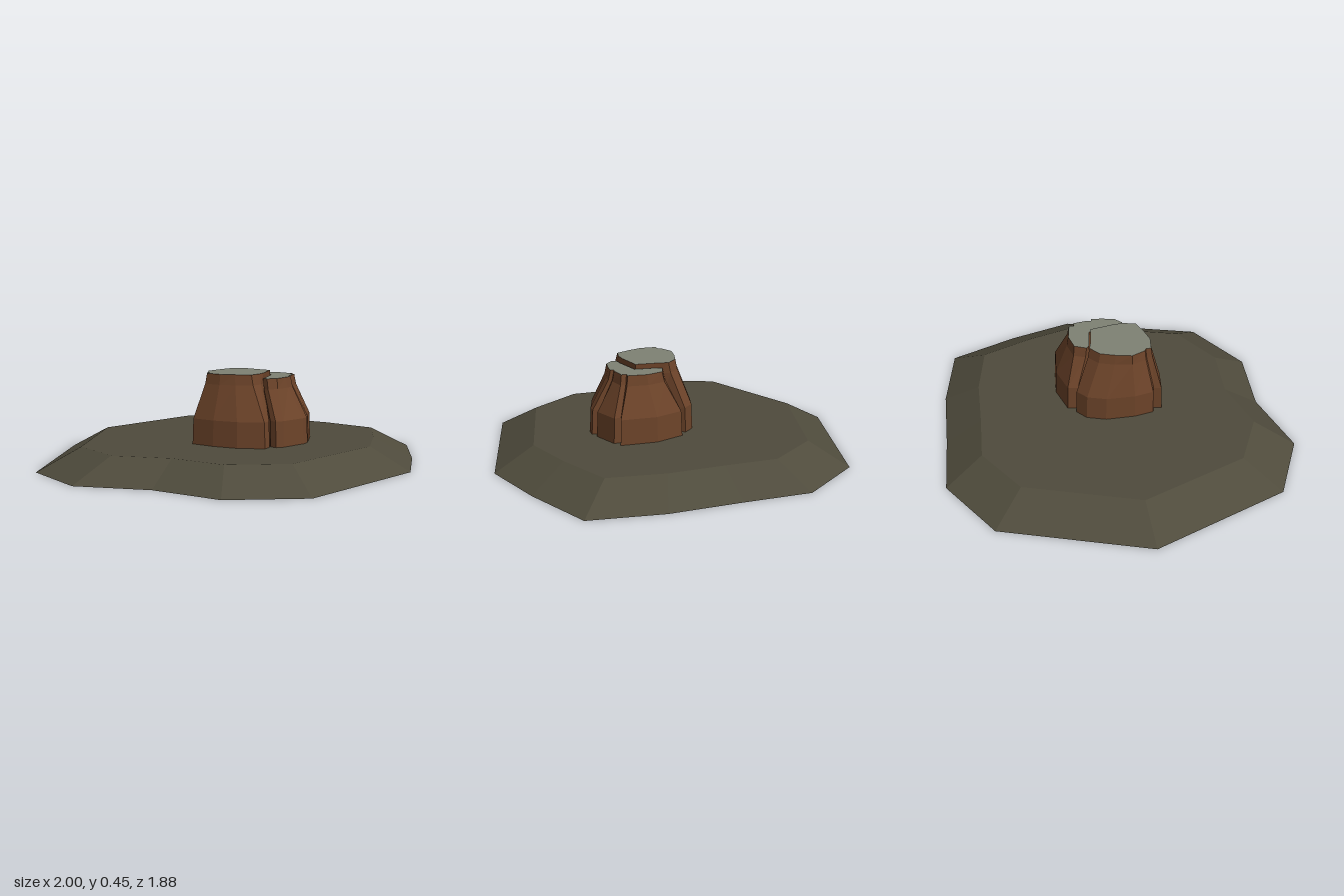
import * as THREE from 'three';

const material = (name, color, doubleSided) => {
  const m = new THREE.MeshStandardMaterial({ color, flatShading: true });
  m.name = name;
  if (doubleSided) m.side = THREE.DoubleSide;
  return m;
};

// Skin between closed rings of [x, y, z], listed from bottom to top
function loft(rings) {
  const pos = [];
  for (let r = 0; r < rings.length - 1; r++) {
    const lo = rings[r], hi = rings[r + 1];
    for (let i = 0; i < lo.length; i++) {
      const j = (i + 1) % lo.length;
      pos.push(...lo[i], ...lo[j], ...hi[j], ...lo[i], ...hi[j], ...hi[i]);
    }
  }
  const g = new THREE.BufferGeometry();
  g.setAttribute('position', new THREE.Float32BufferAttribute(pos, 3));
  g.computeVertexNormals();
  return g;
}

// Flat polygon of [x, z] points facing up at height y
function plate(points, y) {
  const shape = new THREE.Shape(points.map(([x, z]) => new THREE.Vector2(x, -z)));
  return new THREE.ShapeGeometry(shape).rotateX(-Math.PI / 2).translate(0, y, 0);
}

export function createModel() {
  const earth = material('earth', 0x4f4b3c, true);
  const bark = material('bark', 0x6c4329, true);
  const cutWood = material('cutWood', 0x7e8274, false);
  const model = new THREE.Group();
  model.name = 'treeStump';
  const add = (parent, name, geometry, mat) => {
    const mesh = new THREE.Mesh(geometry, mat);
    mesh.name = name;
    parent.add(mesh);
  };

  // Ground: irregular sloping rim around a flat top, hollow underneath
  const groundHeight = 0.11;
  const rim = [
    [0, -0.94], [-0.68, -0.64], [-1, 0], [-0.9, 0.35], [-0.59, 0.55], [-0.37, 0.83],
    [0, 0.94], [0.66, 0.62], [0.84, 0.33], [1, 0], [0.81, -0.31], [0.58, -0.58], [0.37, -0.84],
  ];
  const inset = (pts) => pts.map(([x, z]) => [x * 0.78, z * 0.78]);
  const at = (pts, y) => pts.map(([x, z]) => [x, y, z]);
  const slope = (pts) => loft([at(pts, 0), at(inset(pts), groundHeight)]);
  const ground = new THREE.Group();
  ground.name = 'ground';
  model.add(ground);
  add(ground, 'groundSlope', slope(rim), earth);
  add(ground, 'groundTop', plate(inset(rim), groundHeight), earth);
  // Four-sided inner wall below the mound
  add(ground, 'groundInnerWall', slope([[0, -0.935], [-0.995, 0], [0, 0.935], [0.995, 0]]), earth);

  // Stump halves: each point is [top x, top z, base x, base z]
  const mainHalf = [
    [0.07, -0.04, 0.09, -0.14], [0, -0.05, 0.02, -0.15], [-0.07, -0.02, -0.07, -0.11],
    [-0.14, 0.02, -0.18, -0.01], [-0.17, 0.09, -0.24, 0.07], [-0.165, 0.105, -0.225, 0.1],
    [-0.185, 0.125, -0.26, 0.12], [-0.14, 0.19, -0.19, 0.22], [-0.08, 0.23, -0.1, 0.31],
    [-0.01, 0.265, 0.02, 0.37], [0.045, 0.235, 0.055, 0.34],
    [0.08, 0.2, 0.08, 0.2], [0.155, 0.1, 0.155, 0.1], [0.09, 0, 0.09, 0],
  ];
  const splitHalf = [
    [0.1, 0, 0.1, 0], [0.165, 0.1, 0.165, 0.1], [0.09, 0.205, 0.09, 0.205],
    [0.06, 0.24, 0.065, 0.33], [0.07, 0.265, 0.08, 0.36], [0.12, 0.27, 0.12, 0.36],
    [0.18, 0.235, 0.25, 0.31], [0.22, 0.205, 0.28, 0.285], [0.212, 0.19, 0.265, 0.255],
    [0.23, 0.18, 0.3, 0.25], [0.275, 0.125, 0.365, 0.13], [0.26, 0.105, 0.34, 0.105],
    [0.28, 0.09, 0.38, 0.09], [0.23, 0.01, 0.27, -0.06], [0.16, -0.04, 0.14, -0.14],
    [0.1, -0.02, 0.1, -0.11],
  ];
  const stump = new THREE.Group();
  stump.name = 'stump';
  model.add(stump);
  for (const [name, pts, top] of [['mainHalf', mainHalf, 0.452], ['splitHalf', splitHalf, 0.43]]) {
    const section = (k, y) => pts.map(([xt, zt, xb, zb]) => [xt + (xb - xt) * k, y, zt + (zb - zt) * k]);
    // Underside lip turned in towards the stump's centre
    const lip = section(1, 0.1).map(([x, y, z]) => [x + (0.06 - x) * 0.45, y, z + (0.11 - z) * 0.45]);
    const rings = [lip, section(1, 0.07), section(0.92, 0.235), section(0.12, top - 0.05), section(0, top)];
    add(stump, name + 'Bark', loft(rings), bark);
    add(stump, name + 'CutTop', plate(pts, top), cutWood);
  }
  return model;
}
